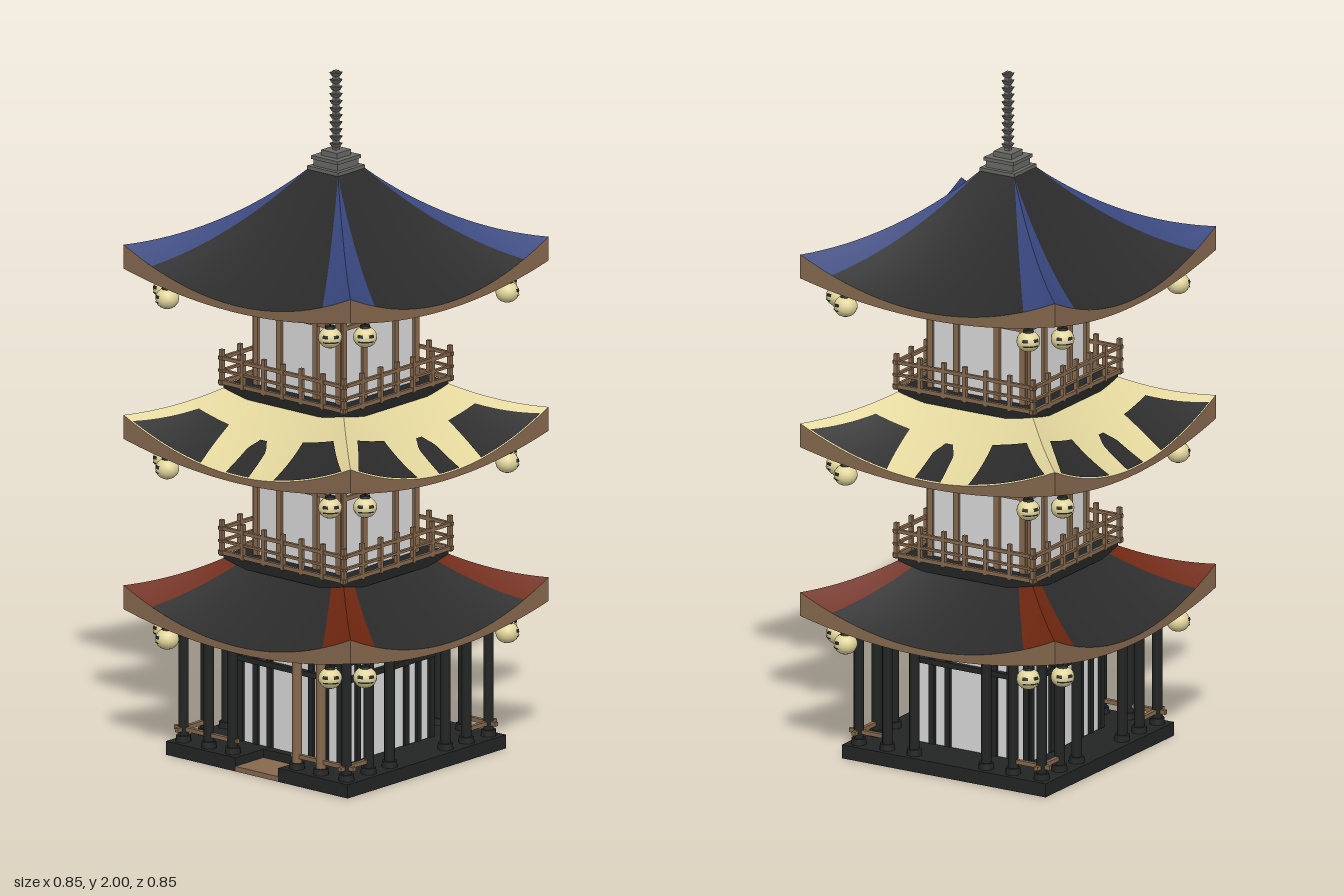
import * as THREE from 'three';

const mat = (name, color, side = THREE.FrontSide) => {
  const m = new THREE.MeshStandardMaterial({ color, side });
  m.name = name;
  return m;
};
const M = {
  black: mat('black tile', 0x2b2b2b),
  timber: mat('black timber', 0x232524),
  wood: mat('brown wood', 0x86694e),
  white: mat('paper white', 0xd9d9d9, THREE.DoubleSide),
  cream: mat('cream yellow', 0xe2d69c),
  blue: mat('blue', 0x36457c),
  red: mat('rust red', 0x6e260f),
  grey: mat('spire grey', 0x686864),
};

const EAVE = 0.425;

function add(parent, name, geo, material, x = 0, y = 0, z = 0) {
  const m = new THREE.Mesh(geo, material);
  m.name = name;
  m.position.set(x, y, z);
  parent.add(m);
  return m;
}
const box = (p, name, material, w, h, d, x, y, z) =>
  add(p, name, new THREE.BoxGeometry(w, h, d), material, x, y, z);

// Runs a builder for the +z side and its three quarter turns
function fourSides(parent, name, build) {
  for (let k = 0; k < 4; k++) {
    const g = new THREE.Group();
    g.name = name;
    g.rotation.y = k * Math.PI / 2;
    build(g, k);
    parent.add(g);
  }
}

// Grid surface from fn(u, v) -> [x, y, z]
function surface(fn, nu, nv) {
  const pos = [], idx = [];
  for (let j = 0; j <= nv; j++)
    for (let i = 0; i <= nu; i++) pos.push(...fn(i / nu, j / nv));
  for (let j = 0; j < nv; j++)
    for (let i = 0; i < nu; i++) {
      const a = j * (nu + 1) + i, b = a + nu + 1;
      idx.push(a, b, a + 1, a + 1, b, b + 1);
    }
  const g = new THREE.BufferGeometry();
  g.setAttribute('position', new THREE.Float32BufferAttribute(pos, 3));
  g.setIndex(idx);
  g.computeVertexNormals();
  return g;
}

// Roof height: r is the distance from the axis, s runs -1..1 along a side
const steep = r => (EAVE - r) / 0.37;
function roofY(r, s) {
  const t = steep(r);
  return 0.4 + 0.216 * t + 0.099 * t * t + 0.1 * s * s * Math.pow(Math.max(0, 1 - t), 1.6);
}
const thick = (r, s) => 0.02 + 0.05 * s * s * Math.max(0, 1 - steep(r));
const lerp = THREE.MathUtils.lerp;

// Part of one roof side between two s limits, each a function of r
function roofPatch(r0, r1, sa, sb, lift, nu, nv) {
  return surface((u, v) => {
    const r = lerp(r0, r1, v), s = lerp(sa(r), sb(r), u);
    return [s * r, roofY(r, s) + lift, r];
  }, nu, nv);
}

function addRoof(root, y, rTop, main, stripe) {
  const roof = new THREE.Group();
  roof.name = 'roof';
  roof.position.y = y;
  root.add(roof);
  const one = () => 1, minus = () => -1;
  const edge = r => Math.min(1, (0.06 + 0.712 * (r - 0.06)) / r);
  fourSides(roof, 'roofSide', g => {
    if (stripe) {
      add(g, 'roofPanel', roofPatch(rTop, EAVE, r => -edge(r), edge, 0, 20, 16), main);
      add(g, 'ridgeStripe', roofPatch(rTop, EAVE, edge, one, 0, 5, 16), stripe);
      add(g, 'ridgeStripe', roofPatch(rTop, EAVE, minus, r => -edge(r), 0, 5, 16), stripe);
    } else {
      add(g, 'roofPanel', roofPatch(rTop, EAVE, minus, one, 0, 32, 16), main);
      // Dark patches along the eave
      const inner = r => lerp(0.46, 0.32, (r - 0.3) / 0.125);
      const outer = r => lerp(0.84, 0.92, (r - 0.3) / 0.125);
      const arch = r => 0.1 * Math.sqrt(Math.min(1, Math.max(0.15, (r - 0.31) / 0.03)));
      add(g, 'eavePatch', roofPatch(0.3, EAVE, inner, outer, 0.004, 10, 8), M.black);
      add(g, 'eavePatch', roofPatch(0.3, EAVE, r => -outer(r), r => -inner(r), 0.004, 10, 8), M.black);
      add(g, 'eaveArch', roofPatch(0.31, EAVE, r => -arch(r), arch, 0.004, 4, 10), M.black);
    }
    add(g, 'eaveBoard', surface((u, v) => {
      const s = u * 2 - 1;
      return [s * EAVE, roofY(EAVE, s) - v * thick(EAVE, s), EAVE];
    }, 28, 1), M.wood);
    add(g, 'roofUnderside', surface((u, v) => {
      const r = lerp(EAVE, Math.max(rTop, 0.1), v), s = u * 2 - 1;
      return [s * r, roofY(r, s) - thick(r, s), r];
    }, 24, 10), M.timber);
  });
  // Two hanging lanterns at every corner
  fourSides(roof, 'cornerLanterns', g => {
    addLantern(g, 0.305, 0.375);
    addLantern(g, 0.375, 0.305);
  });
}

function addLantern(parent, x, z) {
  const l = new THREE.Group();
  l.name = 'lantern';
  l.position.set(x, 0.355, z);
  l.rotation.y = Math.PI / 4;
  const ball = add(l, 'lanternBody', new THREE.SphereGeometry(0.034, 14, 10), M.cream);
  ball.scale.y = 0.9;
  add(l, 'lanternCap', new THREE.CylinderGeometry(0.014, 0.016, 0.007, 10), M.timber, 0, 0.031, 0);
  add(l, 'lanternCord', new THREE.CylinderGeometry(0.002, 0.002, 0.08, 5), M.timber, 0, 0.067, 0);
  // Painted marks on the outward face (phi = PI/2 faces +z)
  const mark = (phi, w, theta, h) => {
    const m = add(l, 'lanternMark', new THREE.SphereGeometry(0.0352, 5, 3, phi - w / 2, w, theta, h), M.timber);
    m.scale.y = 0.9;
  };
  mark(Math.PI / 2 - 0.5, 0.5, 1.15, 0.3);
  mark(Math.PI / 2 + 0.5, 0.5, 1.15, 0.3);
  mark(Math.PI / 2, 1.4, 1.75, 0.14);
  parent.add(l);
}

// Paper wall with a post-and-rail frame and roof brackets on each side
function addWalls(root, y0, y1, half, frame, posts, rails) {
  fourSides(root, 'wall', g => {
    box(g, 'paperWall', M.white, half * 2, y1 - y0, 0.01, 0, (y0 + y1) / 2, half - 0.005);
    for (const x of posts)
      box(g, 'wallPost', frame, 0.018, y1 - y0, 0.018, x, (y0 + y1) / 2, half);
    for (const y of rails)
      box(g, 'wallRail', frame, half * 2, 0.012, 0.016, 0, y, half);
  });
}

function addBrackets(root, y, half, reach) {
  fourSides(root, 'brackets', g => {
    box(g, 'eaveBeam', M.wood, reach * 2, 0.016, 0.016, 0, y + 0.025, reach - 0.012);
    box(g, 'wallBeam', M.wood, half * 2 + 0.02, 0.016, 0.018, 0, y - 0.015, half + 0.004);
    for (const x of [-half, -0.065, 0.065, half])
      box(g, 'bracketArm', M.wood, 0.016, 0.02, reach - half + 0.04, x, y + 0.008, (half + reach) / 2);
    const d = box(g, 'cornerArm', M.wood, 0.02, 0.022, 0.13, half + 0.03, y + 0.01, half + 0.03);
    d.rotation.y = Math.PI / 4;
  });
}

function addBalcony(root, y) {
  const b = new THREE.Group();
  b.name = 'balcony';
  b.position.y = y;
  root.add(b);
  box(b, 'balconyDeck', M.timber, 0.45, 0.028, 0.45, 0, 0.07, 0);
  fourSides(b, 'railing', g => {
    for (const [h, t] of [[0.163, 0.01], [0.126, 0.007], [0.092, 0.012]])
      box(g, 'rail', M.wood, 0.476, t, 0.01, 0, h, 0.228);
    for (const x of [-0.228, -0.15, -0.07, 0, 0.07, 0.15])
      box(g, 'railPost', M.wood, 0.012, 0.105, 0.012, x, 0.135, 0.228);
  });
}

function addGroundFloor(root) {
  // Base ring with an entrance notch at the front
  const shape = new THREE.Shape([[-0.34, -0.34], [-0.08, -0.34], [-0.08, -0.22], [0.08, -0.22],
    [0.08, -0.34], [0.34, -0.34], [0.34, 0.34], [-0.34, 0.34]].map(p => new THREE.Vector2(...p)));
  const q = 0.195;
  shape.holes.push(new THREE.Path([[-q, -q], [-q, q], [q, q], [q, -q]].map(p => new THREE.Vector2(...p))));
  const base = add(root, 'base', new THREE.ExtrudeGeometry(shape, { depth: 0.04, bevelEnabled: false }), M.timber);
  base.rotation.x = -Math.PI / 2;
  box(root, 'entranceStep', M.wood, 0.16, 0.015, 0.12, 0, 0.0075, 0.28);

  addWalls(root, 0.035, 0.54, 0.19, M.timber, [-0.185, -0.13, -0.078, 0.078, 0.13, 0.185], [0.33]);
  fourSides(root, 'colonnade', (g, k) => {
    for (const x of [-0.305, -0.21, -0.12, 0.12, 0.21]) {
      const brown = k === 0 && x > 0;
      add(g, 'column', new THREE.CylinderGeometry(0.015, 0.015, 0.4, 10), brown ? M.wood : M.timber, x, 0.235, 0.305);
      add(g, 'columnFoot', new THREE.CylinderGeometry(0.021, 0.023, 0.018, 10), M.timber, x, 0.049, 0.305);
    }
    for (const y of [0.285, 0.355])
      box(g, 'lintel', M.timber, 0.38, 0.016, 0.014, 0, y, 0.2);
    const inner = k === 0 ? 0.1 : 0.2;
    for (const s of [-1, 1])
      box(g, 'lowRail', M.wood, 0.335 - inner, 0.012, 0.012, s * (0.335 + inner) / 2, 0.077, 0.305);
    box(g, 'columnBeam', M.wood, 0.62, 0.014, 0.014, 0, 0.415, 0.305);
  });
  addBrackets(root, 0.385, 0.19, 0.26);
}

function addSpire(root) {
  const s = new THREE.Group();
  s.name = 'spire';
  root.add(s);
  const tiers = [[0.116, 1.7, 1.722], [0.09, 1.722, 1.75], [0.1, 1.742, 1.752], [0.06, 1.752, 1.768]];
  for (const [w, a, b] of tiers) box(s, 'spireBase', M.grey, w, b - a, w, 0, (a + b) / 2, 0);
  box(s, 'spireRod', M.grey, 0.014, 0.25, 0.014, 0, 1.875, 0);
  for (let i = 0; i < 11; i++) {
    const ring = add(s, 'spireRing', new THREE.CylinderGeometry(0.019, 0.012, 0.011, 4), M.grey, 0, 1.782 + i * 0.0208, 0);
    ring.rotation.y = Math.PI / 4;
  }
}

export function createModel() {
  const root = new THREE.Group();
  root.name = 'pagoda';
  addGroundFloor(root);
  addRoof(root, 0, 0.21, M.black, M.red);
  addRoof(root, 0.5, 0.21, M.cream, null);
  addRoof(root, 1, 0.055, M.black, M.blue);
  // Upper storeys
  for (const y of [0.5, 1]) {
    addBalcony(root, y);
    addWalls(root, y + 0.08, y + 0.56, 0.16, M.wood, [-0.155, -0.068, 0.068, 0.155], [y + 0.305, y + 0.345]);
    addBrackets(root, y + 0.37, 0.16, 0.215);
  }
  addSpire(root);
  return root;
}
